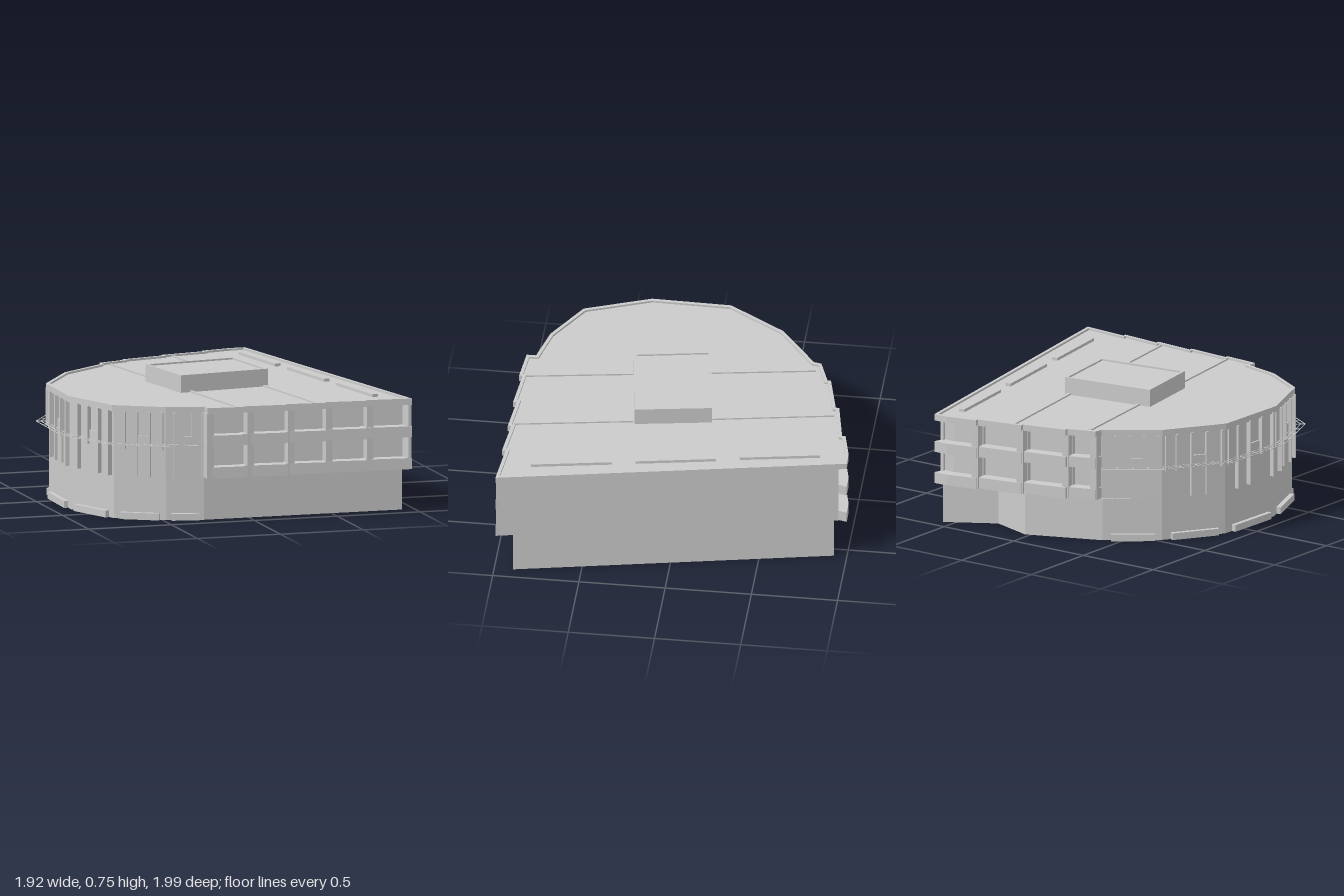
import * as THREE from 'three';

const mat = new THREE.MeshStandardMaterial({ color: 0xcccccc, flatShading: true, side: THREE.DoubleSide });

// Plan points are [x, z]. Paths run along the front to the left, round the curve, then along the back.
const front = [[0.955, 0.99], [0.68, 0.965], [0.68, 0.985], [0.44, 0.962], [0.44, 0.982], [0.2, 0.96],
  [0.2, 0.98], [-0.06, 0.958], [-0.06, 0.978], [-0.27, 0.96]];
const curve = [[-0.27, 0.905], [-0.49, 0.85], [-0.76, 0.69], [-0.905, 0.31], [-0.895, -0.15], [-0.68, -0.48], [-0.4, -0.69]];
const back = [[-0.39, -0.735], [-0.23, -0.79], [-0.23, -0.81], [0.03, -0.87], [0.03, -0.89], [0.3, -0.94],
  [0.3, -0.96], [0.48, -1], [0.57, -1]];
const outline = [...front, ...curve, ...back];
const base = [[0.925, 0.89], [-0.27, 0.89], [-0.48, 0.835], [-0.745, 0.68], [-0.89, 0.31], [-0.88, -0.145],
  [-0.67, -0.47], [-0.4, -0.68], [0.03, -0.85], [0.29, -0.76], [0.565, -0.925]];

// Mitred inward offset of a path (negative d goes outward)
function offset(path, d, closed = false) {
  const n = path.length;
  const normal = (a, b) => {
    const dx = b[0] - a[0], dz = b[1] - a[1], l = Math.hypot(dx, dz);
    return [-dz / l, dx / l];
  };
  return path.map((p, i) => {
    const prev = i > 0 ? path[i - 1] : closed ? path[n - 1] : null;
    const next = i < n - 1 ? path[i + 1] : closed ? path[0] : null;
    const a = prev ? normal(prev, p) : normal(p, next);
    const b = next ? normal(p, next) : a;
    const k = d / (1 + a[0] * b[0] + a[1] * b[1]);
    return [p[0] + (a[0] + b[0]) * k, p[1] + (a[1] + b[1]) * k];
  });
}

const toVec = (pts) => pts.map(([x, z]) => new THREE.Vector2(x, -z));

export function createModel() {
  const model = new THREE.Group();

  function add(name, geometry) {
    const mesh = new THREE.Mesh(geometry, mat);
    mesh.name = name;
    model.add(mesh);
    return mesh;
  }
  // Upright prism over a plan polygon
  function slab(name, pts, y0, y1, hole) {
    const shape = new THREE.Shape(toVec(pts));
    if (hole) shape.holes.push(new THREE.Path(toVec(hole)));
    const g = new THREE.ExtrudeGeometry(shape, { depth: y1 - y0, bevelEnabled: false });
    g.rotateX(-Math.PI / 2).translate(0, y0, 0);
    return add(name, g);
  }
  const strip = (name, path, inner, y0, y1) => slab(name, [...path, ...[...inner].reverse()], y0, y1);
  const rim = (name, path, w, y0, y1) => slab(name, path, y0, y1, offset(path, w, true));
  // Straight bar between two plan points
  function bar(name, a, b, width, y0, y1) {
    const dx = b[0] - a[0], dz = b[1] - a[1];
    const m = add(name, new THREE.BoxGeometry(Math.hypot(dx, dz), y1 - y0, width));
    m.position.set((a[0] + b[0]) / 2, (y0 + y1) / 2, (a[1] + b[1]) / 2);
    m.rotation.y = -Math.atan2(dz, dx);
    return m;
  }
  const lerp = (a, b, t) => [a[0] + (b[0] - a[0]) * t, a[1] + (b[1] - a[1]) * t];

  // Ground floor, open underneath
  rim('groundFloorWall', base, 0.012, 0, 0.25);
  slab('entranceSoffit', [[0.57, -0.95], [0.03, -0.86], [0.29, -0.74]], 0.25, 0.26);

  // Plinth ledges round the curved base
  for (let i = 1; i < 7; i++) {
    const a = base[i], b = base[i + 1];
    const out = offset([a, b], -0.012);
    bar('plinthLedge', lerp(out[0], out[1], 0.12), lerp(out[0], out[1], 0.86), 0.028, 0, 0.04);
  }

  // Long straight side wall
  const side = [[0.562, -0.95], [0.953, 0.985]];
  strip('sideWall', side, side.map(([x, z]) => [x - 0.02, z]), 0.25, 0.645);

  // Front and back facades: floor bands, recessed wall, piers
  for (const [name, path, dz] of [['front', front, -1], ['back', back, 1]]) {
    const shift = (d) => path.map(([x, z]) => [x - (x > 0.5 ? 0.02 : 0), z + dz * d]);
    for (const [y0, y1] of [[0.25, 0.315], [0.437, 0.5]]) strip(name + 'FloorBand', path, shift(0.08), y0, y1);
    strip(name + 'WindowWall', shift(0.07), shift(0.08), 0.25, 0.63);
  }
  for (const x of [-0.253, -0.01, 0.235, 0.463, 0.71]) bar('frontPier', [x - 0.02, 0.925], [x + 0.02, 0.925], 0.075, 0.25, 0.63);
  for (const [x, z] of [[-0.365, -0.70], [-0.21, -0.76], [0.05, -0.85], [0.32, -0.92]]) {
    bar('backPier', [x - 0.02, z + 0.005], [x + 0.02, z - 0.005], 0.075, 0.25, 0.63);
  }

  // Curved facade with fins and raised panels
  const wall = offset(curve, 0.015);
  strip('curvedWall', wall, offset(wall, 0.015), 0.25, 0.63);
  for (let i = 0; i < wall.length - 1; i++) {
    const at = (t, d) => {
      const o = offset([wall[i], wall[i + 1]], d);
      return lerp(o[0], o[1], t);
    };
    [0.06, 0.3, 0.54, 0.78].forEach((t, k) => {
      bar('facadeFin', at(t, 0), at(t, -0.026), 0.012, (i + k) % 3 === 1 ? 0.41 : 0.25, 0.63);
    });
    bar('lowerPanel', at(0.32, -0.004), at(0.52, -0.004), 0.016, 0.25, 0.49);
    bar('upperPanel', at(0.8, -0.004), at(0.95, -0.004), 0.016, 0.41, 0.63);
  }

  // Thin sunshade grid standing out from the curve
  const shadeY = 0.44;
  const rails = [-0.006, -0.03, -0.055].map((d) => offset(curve, d));
  for (const rail of rails) {
    for (let i = 0; i < rail.length - 1; i++) bar('sunshadeRail', rail[i], rail[i + 1], 0.004, shadeY, shadeY + 0.003);
  }
  for (let i = 0; i < curve.length - 1; i++) {
    for (let k = 0; k < 4; k++) {
      const t = k / 4;
      bar('sunshadeRung', lerp(rails[0][i], rails[0][i + 1], t), lerp(rails[2][i], rails[2][i + 1], t), 0.004, shadeY, shadeY + 0.003);
    }
  }

  // Roof with parapet, seams and skylights
  slab('roof', outline, 0.625, 0.65);
  rim('parapet', outline, 0.02, 0.65, 0.662);
  const seams = [[[-0.33, -0.71], [-0.235, -0.11]], [[-0.17, 0.33], [-0.075, 0.95]],
    [[0.095, -0.87], [0.215, -0.17]], [[0.29, 0.27], [0.4, 0.95]]];
  for (const [a, b] of seams) bar('roofSeam', a, b, 0.016, 0.645, 0.659);
  for (const [a, b] of [[[0.497, -0.835], [0.575, -0.38]], [[0.605, -0.245], [0.685, 0.21]], [[0.71, 0.345], [0.79, 0.805]]]) {
    bar('skylight', a, b, 0.035, 0.645, 0.667);
  }

  // Rooftop plant room
  const plant = [[0.315, 0.262], [-0.235, 0.335], [-0.31, -0.105], [0.245, -0.18]];
  slab('plantRoom', plant, 0.645, 0.742);
  rim('plantRoomRim', plant, 0.016, 0.742, 0.752);

  return model;
}
